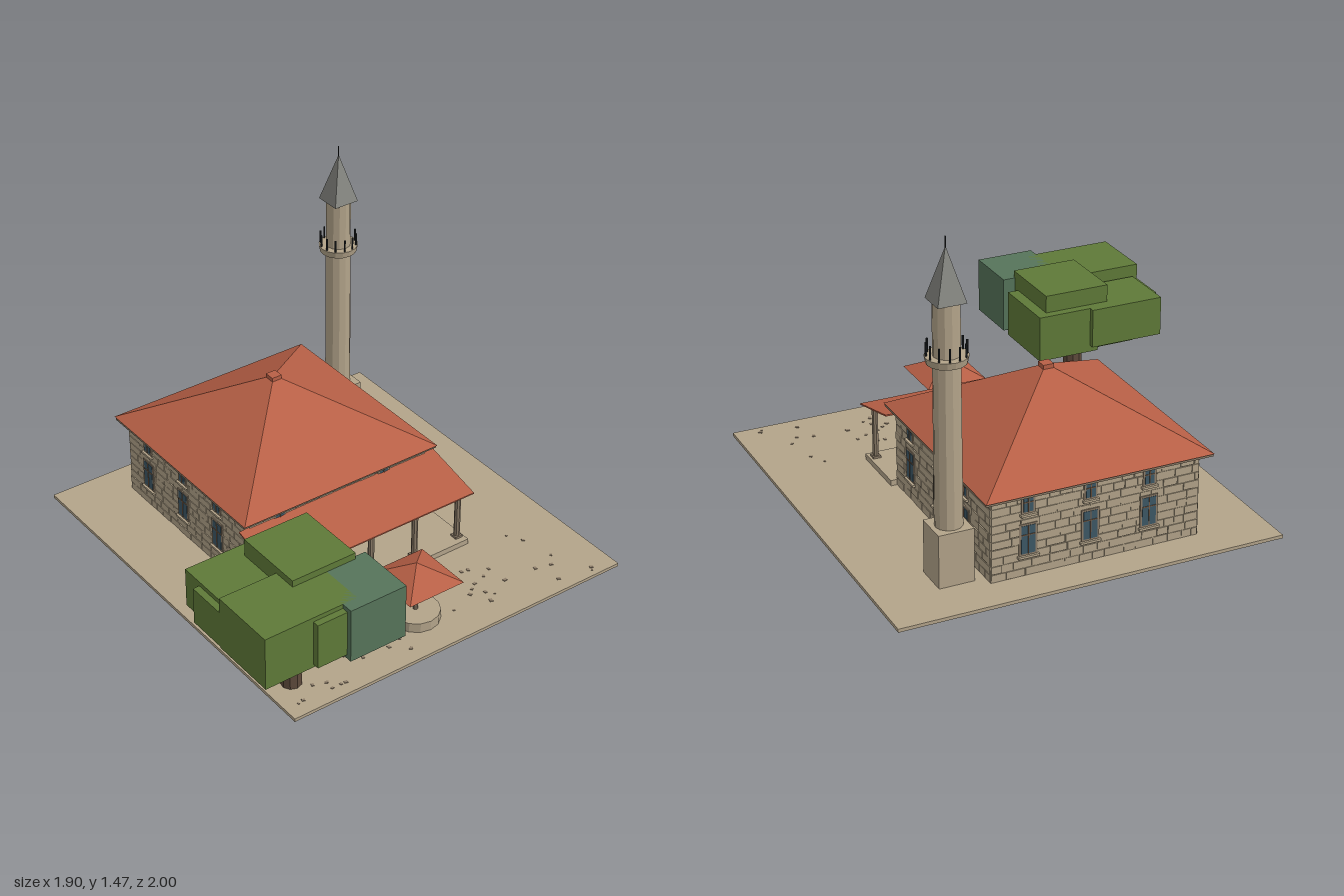
import * as THREE from 'three';
import { mergeGeometries } from 'three/addons/utils/BufferGeometryUtils.js';

const mat = (name, color) => {
  const m = new THREE.MeshStandardMaterial({ color, flatShading: true });
  m.name = name;
  return m;
};

export function createModel() {
  const M = {
    stone: mat('stone', 0xb3a48a), roof: mat('roof tile', 0xb86046), leaf: mat('leaf', 0x5f7a38),
    leafDark: mat('blue leaf', 0x56745a), bark: mat('bark', 0x5e4a3c), slate: mat('slate', 0x858680),
    iron: mat('iron', 0x24282a), glass: mat('glass', 0x3d5866), wood: mat('wood', 0x7b6049),
    trim: mat('trim', 0x8d7d69),
  };
  const model = new THREE.Group();
  model.name = 'courtyardBuilding';
  let seed = 7;
  const rand = () => (seed = (seed * 16807) % 2147483647) / 2147483647;

  const add = (parent, name, geo, material, x = 0, y = 0, z = 0) => {
    const mesh = new THREE.Mesh(geo, material);
    mesh.name = name;
    mesh.position.set(x, y, z);
    parent.add(mesh);
    return mesh;
  };
  const group = (name, x = 0, y = 0, z = 0) => {
    const g = new THREE.Group();
    g.name = name;
    g.position.set(x, y, z);
    model.add(g);
    return g;
  };
  // box given by its limits on each axis
  const span = (parent, name, m, x0, x1, y0, y1, z0, z1) =>
    add(parent, name, new THREE.BoxGeometry(x1 - x0, y1 - y0, z1 - z0), m, (x0 + x1) / 2, (y0 + y1) / 2, (z0 + z1) / 2);
  // upright cylinder standing on y0
  const post = (parent, name, m, r0, r1, y0, y1, x, z, n = 8) =>
    add(parent, name, new THREE.CylinderGeometry(r1, r0, y1 - y0, n), m, x, (y0 + y1) / 2, z);
  // square pyramid standing on y0
  const pyramid = (parent, name, m, w, y0, y1, x, z) =>
    add(parent, name, new THREE.ConeGeometry(w / Math.SQRT2, y1 - y0, 4).rotateY(Math.PI / 4), m, x, (y0 + y1) / 2, z);

  // Paved yard with loose pebbles
  span(model, 'yard', M.stone, -0.76, 0.95, 0, 0.015, -1, 0.86);
  const pebbles = [];
  for (let i = 0; i < 60; i++) {
    const s = 0.008 + rand() * 0.01;
    pebbles.push(new THREE.BoxGeometry(s, 0.004, s * 0.8).rotateY(rand() * 3)
      .translate(-0.7 + rand() * 1.55, 0.016, 0.41 + rand() * 0.42));
  }
  add(model, 'pebbles', mergeGeometries(pebbles), M.trim);

  // Hall core
  const CX = 0.02, CZ = -0.375, HALF = 0.465;
  span(model, 'hallWalls', M.stone, CX - HALF, CX + HALF, 0.015, 0.38, CZ - HALF, CZ + HALF);

  // One outer wall face in local space: x along the wall, z outward
  const windowUnit = (g, x, y0, y1, w) => {
    const f = HALF, h = w / 2;
    span(g, 'windowFrame', M.trim, x - h, x + h, y0, y1, f, f + 0.008);
    span(g, 'windowPane', M.glass, x - h + 0.009, x + h - 0.009, y0 + 0.008, y1 - 0.008, f + 0.006, f + 0.0095);
    span(g, 'mullion', M.wood, x - 0.002, x + 0.002, y0 + 0.008, y1 - 0.008, f + 0.008, f + 0.012);
    span(g, 'transom', M.wood, x - h + 0.009, x + h - 0.009, y0 + (y1 - y0) * 0.64, y0 + (y1 - y0) * 0.64 + 0.004, f + 0.008, f + 0.012);
    span(g, 'windowSill', M.stone, x - h - 0.006, x + h + 0.006, y0 - 0.01, y0, f, f + 0.018);
  };
  const wallFace = (name, turn, front) => {
    const g = group(name, CX, 0, CZ);
    g.rotation.y = turn;
    const blocks = [];
    const rows = 10, rh = 0.362 / rows;
    for (let r = 0; r < rows; r++) {
      let x = -HALF;
      while (x < HALF - 0.01) {
        const w = Math.min(0.045 + rand() * 0.05, HALF - x);
        const d = 0.002 + rand() * 0.003;
        blocks.push(new THREE.BoxGeometry(Math.max(w - 0.004, 0.004), rh - 0.004, d)
          .translate(x + w / 2, 0.016 + rh * (r + 0.5), HALF + d / 2));
        x += w;
      }
    }
    add(g, 'stoneBlocks', mergeGeometries(blocks), M.stone);
    for (const x of front ? [-0.31, 0.235] : [-0.305, -0.03, 0.235]) {
      windowUnit(g, x, 0.11, 0.25, 0.08);
      windowUnit(g, x, 0.295, 0.37, 0.06);
    }
    if (front) {
      span(g, 'doorFrame', M.trim, -0.135, 0.005, 0.04, 0.225, HALF, HALF + 0.008);
      for (const s of [-1, 1]) {
        span(g, 'doorLeaf', M.wood, -0.065 + s * 0.03 - 0.028, -0.065 + s * 0.03 + 0.028, 0.04, 0.212, HALF + 0.006, HALF + 0.013);
        add(g, 'doorKnob', new THREE.SphereGeometry(0.004, 6, 5), M.iron, -0.065 + s * 0.009, 0.11, HALF + 0.014);
      }
    }
  };
  ['frontWall', 'rightWall', 'backWall', 'leftWall'].forEach((n, i) => wallFace(n, i * Math.PI / 2, i === 0));

  // Hipped roof with eave board and ridge cap
  const roof = group('hallRoof');
  const RZ = -0.38;
  span(roof, 'eaveBoard', M.trim, -0.487, 0.523, 0.38, 0.393, RZ - 0.5, RZ + 0.5);
  pyramid(roof, 'hipRoof', M.roof, 1.014, 0.393, 0.685, 0.018, RZ);
  span(roof, 'ridgeCap', M.roof, -0.006, 0.042, 0.668, 0.69, RZ - 0.024, RZ + 0.024);

  // Porch: floor, five posts, beam and sloping canopy
  const porch = group('porch');
  span(porch, 'porchFloor', M.stone, -0.48, 0.515, 0.015, 0.04, 0.09, 0.37);
  for (let i = 0; i < 5; i++) {
    const x = -0.45 + i * 0.234;
    post(porch, 'porchPost', M.trim, 0.014, 0.014, 0.04, 0.285, x, 0.325, 8);
    span(porch, 'postFoot', M.trim, x - 0.018, x + 0.018, 0.04, 0.05, 0.307, 0.343);
  }
  const slope = new THREE.Shape([[0.09, 0.346], [0.375, 0.278], [0.375, 0.284], [0.09, 0.353]]
    .map(p => new THREE.Vector2(-p[0], p[1])));
  const canopy = new THREE.ExtrudeGeometry(slope, { depth: 1.025, bevelEnabled: false }).rotateY(Math.PI / 2);
  add(porch, 'porchCanopy', canopy, M.roof, -0.493);

  // Tower: plinth, shaft, balcony with railing, pointed cap
  const tower = group('tower', 0.609, 0, -0.717);
  span(tower, 'towerPlinth', M.stone, -0.077, 0.077, 0.015, 0.25, -0.075, 0.075);
  post(tower, 'towerShaft', M.stone, 0.058, 0.055, 0.25, 1.205, 0, 0, 12);
  post(tower, 'balcony', M.stone, 0.082, 0.088, 0.95, 0.98, 0, 0, 16);
  for (let i = 0; i < 12; i++) {
    const a = (i + 0.5) * Math.PI / 6;
    post(tower, 'railPost', M.iron, 0.004, 0.004, 0.98, 1.037, Math.cos(a) * 0.08, Math.sin(a) * 0.08, 6);
  }
  pyramid(tower, 'towerCap', M.slate, 0.122, 1.203, 1.425, 0, 0);
  post(tower, 'finial', M.iron, 0.003, 0.002, 1.4, 1.466, 0, 0, 6);

  // Fountain: round basin, pole and small roof
  const fountain = group('fountain', 0.02, 0, 0.632);
  post(fountain, 'basin', M.stone, 0.107, 0.107, 0.015, 0.06, 0, 0, 14);
  post(fountain, 'fountainPole', M.trim, 0.011, 0.011, 0.06, 0.25, 0, 0, 8);
  pyramid(fountain, 'fountainRoof', M.roof, 0.28, 0.22, 0.298, 0, 0);

  // Tree: trunk and blocky crown
  const tree = group('tree');
  post(tree, 'trunk', M.bark, 0.045, 0.041, 0.015, 0.36, -0.643, 0.67, 9);
  [
    [-0.925, -0.58, 0.34, 0.52, 0.35, 0.62, 0],
    [-0.955, -0.69, 0.33, 0.50, 0.45, 0.70, 0],
    [-0.955, -0.52, 0.325, 0.57, 0.635, 0.945, 0],
    [-0.685, -0.38, 0.35, 0.60, 0.415, 0.745, 0],
    [-0.62, -0.33, 0.31, 0.52, 0.375, 0.70, 0],
    [-0.73, -0.56, 0.34, 0.55, 0.68, 0.975, 0],
    [-0.82, -0.42, 0.302, 0.45, 0.42, 0.90, 0],
    [-0.87, -0.68, 0.32, 0.49, 0.56, 0.66, 1],
    [-0.59, -0.322, 0.32, 0.57, 0.73, 0.998, 1],
    [-0.64, -0.35, 0.31, 0.47, 0.40, 0.80, 1],
  ].forEach(([x0, x1, y0, y1, z0, z1, dark]) =>
    span(tree, 'leafBlock', dark ? M.leafDark : M.leaf, x0, x1, y0, y1, z0, z1));

  return model;
}
